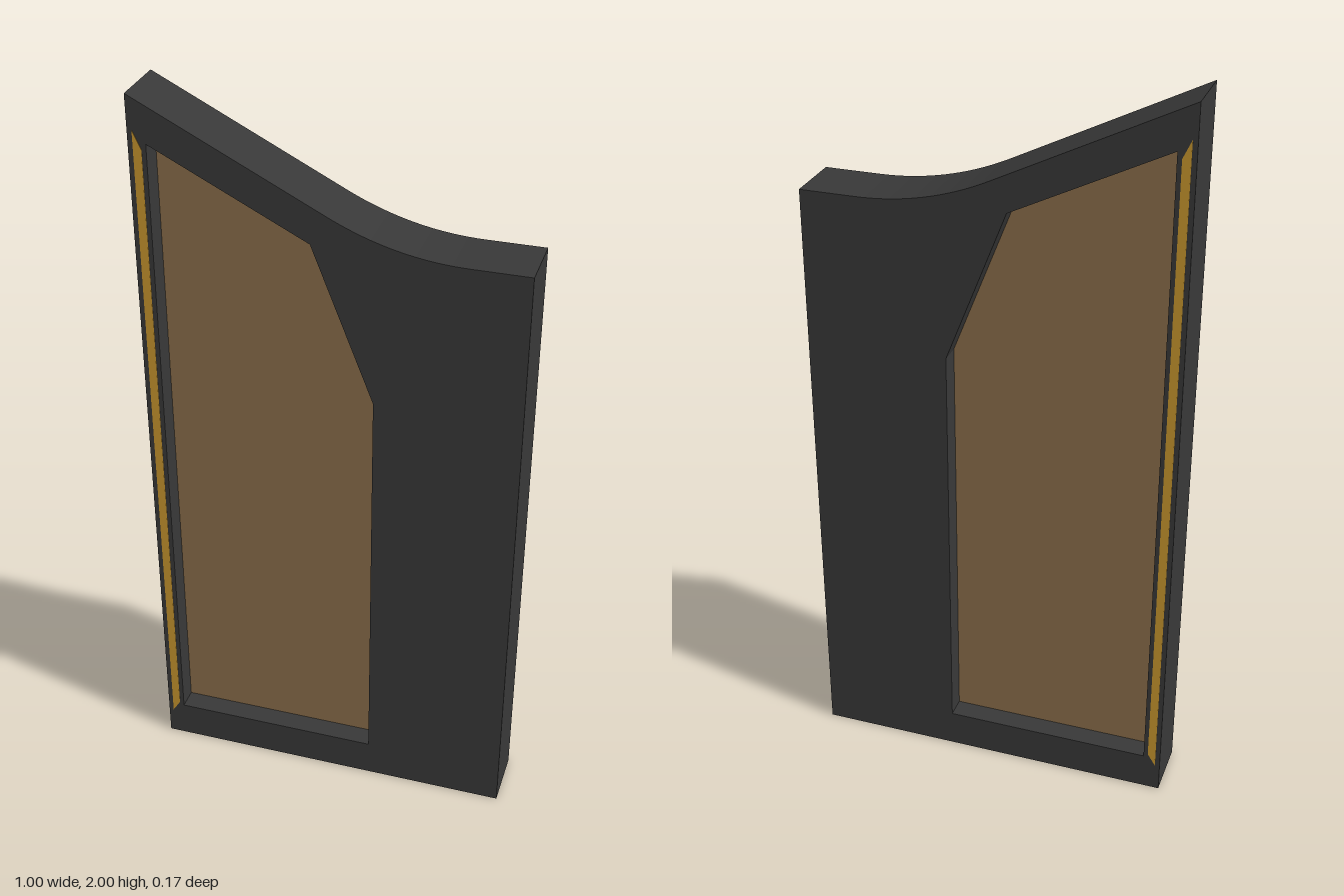
import * as THREE from 'three';

const HALF_DEPTH = 0.082;

function polygon(points) {
  return points.map(([x, y]) => new THREE.Vector2(x, y));
}

// Extrudes a shape between two z positions
function slab(name, shape, z0, z1, material) {
  const geometry = new THREE.ExtrudeGeometry(shape, {
    depth: z1 - z0, bevelEnabled: false, curveSegments: 16,
  });
  geometry.translate(0, 0, z0);
  const mesh = new THREE.Mesh(geometry, material);
  mesh.name = name;
  return mesh;
}

export function createModel() {
  const group = new THREE.Group();
  group.name = 'partitionPanel';

  const frameMaterial = new THREE.MeshStandardMaterial({ color: 0x383838 });
  const panelMaterial = new THREE.MeshStandardMaterial({ color: 0x8a6e4b });
  const trimMaterial = new THREE.MeshStandardMaterial({ color: 0xc8962e });

  // Outline of the opening, shared by the frame and the inset panel
  const opening = polygon([
    [-0.453, 0.105], [0.117, 0.105], [0.117, 1.257], [-0.045, 1.674], [-0.453, 1.878],
  ]);

  // Frame with a sloping top that sweeps into a level shoulder
  const outline = new THREE.Shape();
  outline.moveTo(-0.5, 0);
  outline.lineTo(0.5, 0);
  outline.lineTo(0.5, 1.667);
  outline.lineTo(0.35, 1.667);
  outline.quadraticCurveTo(0.167, 1.667, 0, 1.75);
  outline.lineTo(-0.5, 2);
  outline.closePath();
  outline.holes.push(new THREE.Path(opening));
  group.add(slab('frame', outline, -HALF_DEPTH, HALF_DEPTH, frameMaterial));

  // Panel recessed from both faces
  group.add(slab('insetPanel', new THREE.Shape(opening), -0.023, 0.023, panelMaterial));

  // Mitred trim strip along the tall edge, on both faces
  const strip = new THREE.Shape(polygon([
    [-0.487, 0.08], [-0.465, 0.115], [-0.465, 1.862], [-0.487, 1.91],
  ]));
  group.add(slab('frontTrim', strip, HALF_DEPTH - 0.002, HALF_DEPTH + 0.001, trimMaterial));
  group.add(slab('backTrim', strip, -HALF_DEPTH - 0.001, -HALF_DEPTH + 0.002, trimMaterial));

  return group;
}
